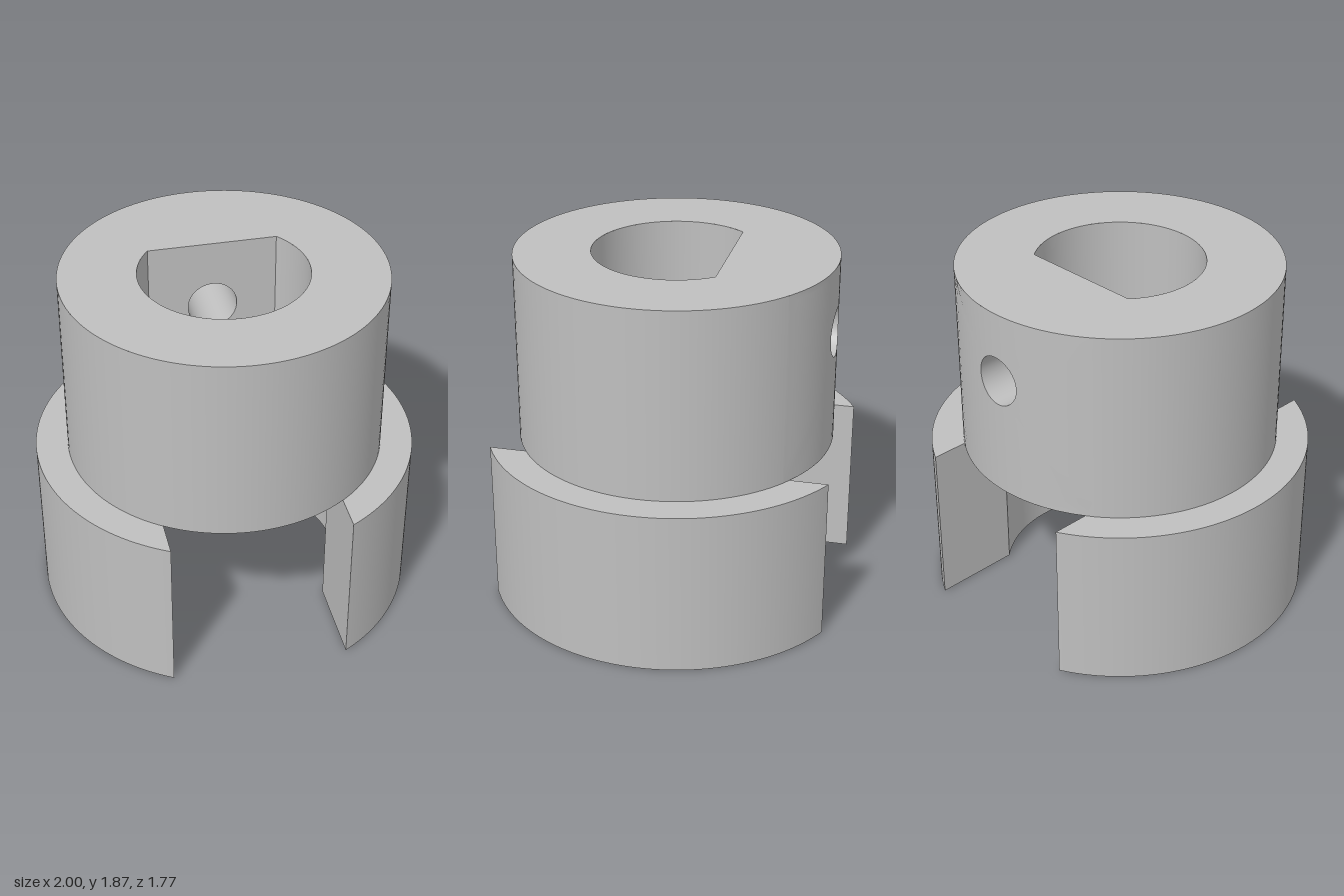
import * as THREE from 'three';
import { toCreasedNormals } from 'three/addons/utils/BufferGeometryUtils.js';

const SLOT = 0.462, JAW_OUT = 1, JAW_IN = 0.625, JAW_H = 0.87;   // jaws
const R = 0.832, H = 1, MID = JAW_H + H / 2;                     // sleeve
const BORE = 0.435, FLAT = 0.275;                                // D-shaped bore
const HOLE = 0.13, HOLE_Y = 1.5, N = 64;                         // set screw hole

// Closed strip through loops of points with equal counts
function loft(loops) {
  const pos = loops.flat(2), index = [];
  for (let i = 0; i < loops.length - 1; i++) {
    for (let j = 0; j < N; j++) {
      const a = i * N + j, b = i * N + (j + 1) % N;
      index.push(a, b, a + N, b, b + N, a + N);
    }
  }
  const g = new THREE.BufferGeometry();
  g.setAttribute('position', new THREE.Float32BufferAttribute(pos, 3));
  g.setIndex(index);
  g.computeVertexNormals();
  return g;
}

const ring = (fn) => Array.from({ length: N }, (_, j) => fn((j / N) * Math.PI * 2));
const backZ = (x) => -Math.sqrt(R * R - x * x);

export function createModel() {
  const group = new THREE.Group();
  const steel = new THREE.MeshStandardMaterial({ color: 0xbfbfbf, side: THREE.DoubleSide });
  steel.name = 'grey steel';
  const add = (name, geometry) => {
    const mesh = new THREE.Mesh(geometry, steel);
    mesh.name = name;
    group.add(mesh);
    return mesh;
  };

  // Two curved jaws with a slot between them
  const a = Math.acos(SLOT / JAW_OUT), b = Math.acos(SLOT / JAW_IN);
  const jaw = new THREE.Shape();
  jaw.absarc(0, 0, JAW_OUT, -a, a, false);
  jaw.absarc(0, 0, JAW_IN, b, -b, true);
  jaw.closePath();
  const jawGeo = toCreasedNormals(
    new THREE.ExtrudeGeometry(jaw, { depth: JAW_H, bevelEnabled: false, curveSegments: 64 })
      .rotateX(-Math.PI / 2), 0.5);
  add('leftJaw', jawGeo);
  add('rightJaw', jawGeo).rotation.y = Math.PI;

  // Sleeve outer wall, left open at the back for the drilled panel
  const gap = Math.asin(0.5 / R);
  add('sleeveWall', new THREE.CylinderGeometry(R, R, H, 96, 1, true,
    Math.PI + gap, 2 * Math.PI - 2 * gap).translate(0, MID, 0));

  // Back panel of the wall, blended from the round hole to a square edge
  const panel = [];
  const STEPS = 8;
  for (let i = 0; i <= STEPS; i++) {
    const k = i / STEPS;
    panel.push(ring((t) => {
      const c = Math.cos(t), s = Math.sin(t), m = Math.max(Math.abs(c), Math.abs(s));
      const x = THREE.MathUtils.lerp(HOLE * c, 0.5 * c / m, k);
      const y = THREE.MathUtils.lerp(HOLE_Y + HOLE * s, MID + 0.5 * s / m, k);
      return [x, y, backZ(x)];
    }));
  }
  add('drilledBackPanel', loft(panel));

  // Radial screw hole from the bore flat to the outer wall
  const holeLoop = (outer) => ring((t) => {
    const x = HOLE * Math.cos(t);
    return [x, HOLE_Y + HOLE * Math.sin(t), outer ? backZ(x) : -FLAT];
  });
  add('screwHole', loft([holeLoop(false), holeLoop(true)]));

  // Round part of the bore
  const half = Math.acos(-FLAT / BORE);
  add('boreWall', new THREE.CylinderGeometry(BORE, BORE, H, 80, 1, true,
    -half, 2 * half).translate(0, MID, 0));

  // Flat of the bore, pierced by the screw hole
  const w = Math.sqrt(BORE * BORE - FLAT * FLAT);
  const flat = new THREE.Shape([
    new THREE.Vector2(-w, JAW_H), new THREE.Vector2(w, JAW_H),
    new THREE.Vector2(w, JAW_H + H), new THREE.Vector2(-w, JAW_H + H)]);
  flat.holes.push(new THREE.Path().absarc(0, HOLE_Y, HOLE, 0, Math.PI * 2, true));
  add('boreFlat', new THREE.ShapeGeometry(flat, 32).translate(0, 0, -FLAT));

  // End faces of the sleeve with the D-shaped opening
  const face = new THREE.Shape();
  face.absarc(0, 0, R, 0, Math.PI * 2, false);
  const phi = Math.asin(FLAT / BORE);
  const dHole = new THREE.Path();
  dHole.absarc(0, 0, BORE, Math.PI - phi, 2 * Math.PI + phi, false);
  dHole.closePath();
  face.holes.push(dHole);
  const top = new THREE.ShapeGeometry(face, 96).rotateX(-Math.PI / 2);
  add('sleeveTop', top).position.y = JAW_H + H;
  // Mirrored in z, so the underside faces down
  const under = new THREE.ShapeGeometry(face, 96).rotateX(Math.PI / 2).scale(-1, 1, -1);
  add('sleeveUnderside', under).position.y = JAW_H;

  return group;
}
